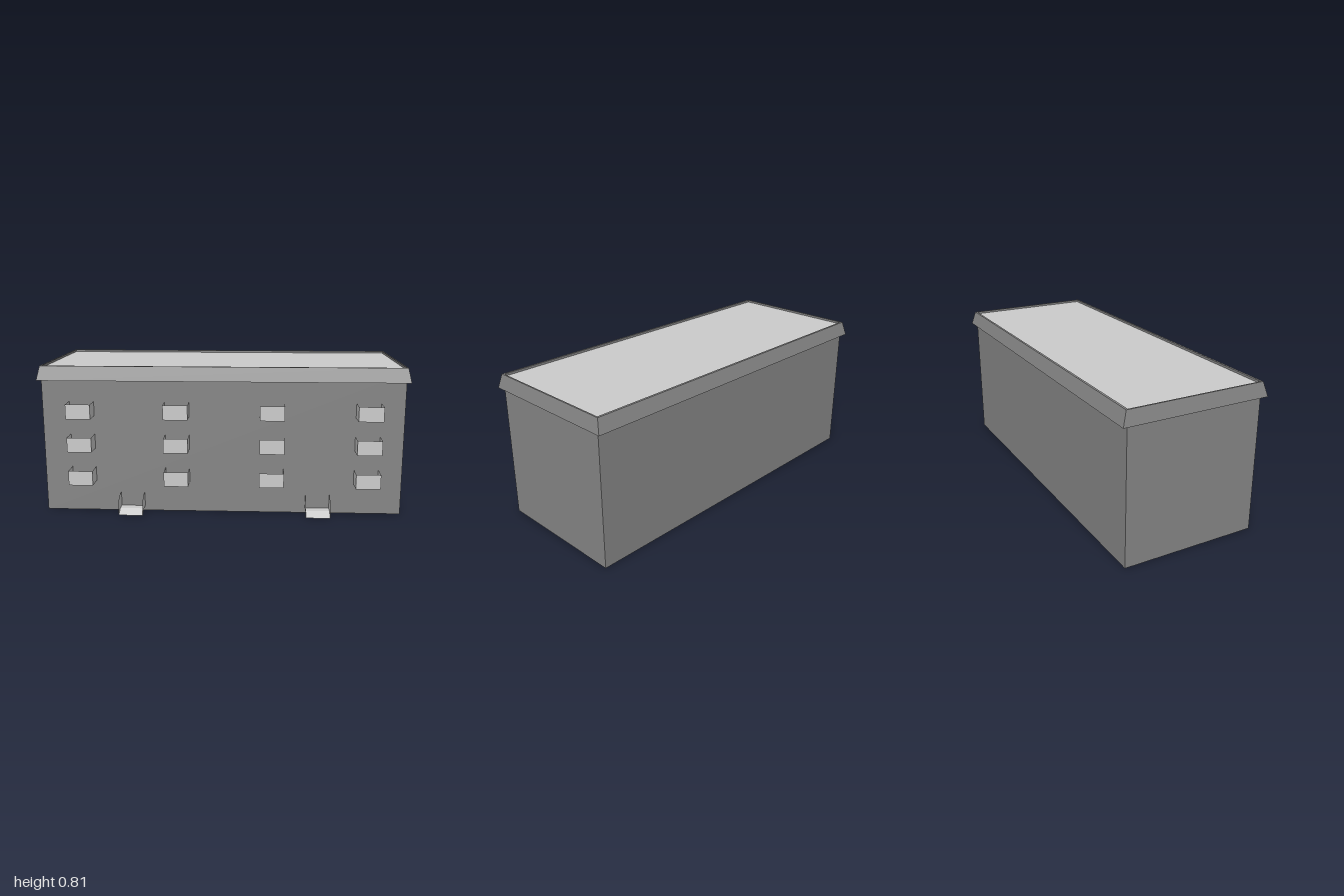
import * as THREE from 'three';

const wallMat = new THREE.MeshStandardMaterial({ color: 0x868686, flatShading: true, side: THREE.DoubleSide });
const lightMat = new THREE.MeshStandardMaterial({ color: 0xcccccc, flatShading: true, side: THREE.DoubleSide });

const CENTER_Z = -0.033;   // middle of the building block
const WALL_Z = 0.34;       // front wall plane
const FRONT_Z = 0.437;     // outer edge of balconies and ramps
const WIDTH = 0.132;

function addMesh(parent, name, geometry, material) {
  const mesh = new THREE.Mesh(geometry, material);
  mesh.name = name;
  parent.add(mesh);
  return mesh;
}

// Rectangular rings [halfX, halfZ, y] joined by flat bands
function ringBands(rings) {
  const corner = ([hx, hz, y], i) => [[hx, y, hz], [hx, y, -hz], [-hx, y, -hz], [-hx, y, hz]][i % 4];
  const pos = [];
  for (let r = 0; r < rings.length - 1; r++) {
    for (let i = 0; i < 4; i++) {
      const a = corner(rings[r], i), b = corner(rings[r], i + 1);
      const c = corner(rings[r + 1], i + 1), d = corner(rings[r + 1], i);
      pos.push(...a, ...b, ...c, ...a, ...c, ...d);
    }
  }
  const geometry = new THREE.BufferGeometry();
  geometry.setAttribute('position', new THREE.Float32BufferAttribute(pos, 3));
  geometry.computeVertexNormals();
  return geometry;
}

// Thin sheet following a [z, y] path, spanning the width in x
function sheet(path) {
  const pos = [], h = WIDTH / 2;
  for (let i = 0; i < path.length - 1; i++) {
    const [z0, y0] = path[i], [z1, y1] = path[i + 1];
    pos.push(-h, y0, z0, -h, y1, z1, h, y1, z1, -h, y0, z0, h, y1, z1, h, y0, z0);
  }
  const geometry = new THREE.BufferGeometry();
  geometry.setAttribute('position', new THREE.Float32BufferAttribute(pos, 3));
  geometry.computeVertexNormals();
  return geometry;
}

// Pair of thin side panels with a [z, y] outline
function addSides(parent, outline) {
  const shape = new THREE.Shape(outline.map(([z, y]) => new THREE.Vector2(-z, y)));
  for (const s of [-1, 1]) {
    const side = addMesh(parent, s > 0 ? 'leftPanel' : 'rightPanel', new THREE.ShapeGeometry(shape), lightMat);
    side.rotation.y = Math.PI / 2;
    side.position.x = s * WIDTH / 2;
  }
}

// Balcony: floor and front panel in one sheet, plus two sides
function makeBalcony(x, y) {
  const group = new THREE.Group();
  group.name = 'balcony';
  const h = 0.08;
  addMesh(group, 'floorAndFront', sheet([[WALL_Z, 0], [FRONT_Z, 0], [FRONT_Z, h]]), lightMat);
  addSides(group, [[WALL_Z, 0], [FRONT_Z, 0], [FRONT_Z, h], [WALL_Z, h]]);
  group.position.set(x, y, 0);
  return group;
}

// Entrance: landing and sloping ramp between two side panels, open in front
function makeEntrance(x) {
  const group = new THREE.Group();
  group.name = 'entrance';
  const floor = [[WALL_Z, 0.027], [0.388, 0.027], [FRONT_Z, 0.003]];
  const rail = floor.map(([z, y]) => [z, y + 0.079]).reverse();
  addMesh(group, 'ramp', sheet(floor), lightMat);
  addSides(group, [...floor, ...rail]);
  group.position.x = x;
  return group;
}

export function createModel() {
  const model = new THREE.Group();
  model.name = 'apartmentBlock';

  // Main block
  const walls = addMesh(model, 'walls', new THREE.BoxGeometry(1.962, 0.79, 0.746), wallMat);
  walls.position.set(0, 0.395, CENTER_Z);

  // Sloped eave with a narrow lip around the sunken roof
  const eave = addMesh(model, 'eave', ringBands([
    [0.981, 0.373, 0.735],
    [1.0, 0.403, 0.735],
    [0.984, 0.38, 0.812],
    [0.976, 0.368, 0.812],
    [0.976, 0.368, 0.8],
  ]), wallMat);
  eave.position.z = CENTER_Z;

  // Flat roof
  const roof = addMesh(model, 'roof', new THREE.PlaneGeometry(1.952, 0.736), lightMat);
  roof.rotation.x = -Math.PI / 2;
  roof.position.set(0, 0.8, CENTER_Z);

  // Balconies on three floors
  for (const x of [-0.765, -0.245, 0.27, 0.787]) {
    for (const y of [0.171, 0.357, 0.539]) model.add(makeBalcony(x, y));
  }

  // Two entrances
  for (const x of [-0.497, 0.525]) model.add(makeEntrance(x));

  return model;
}
